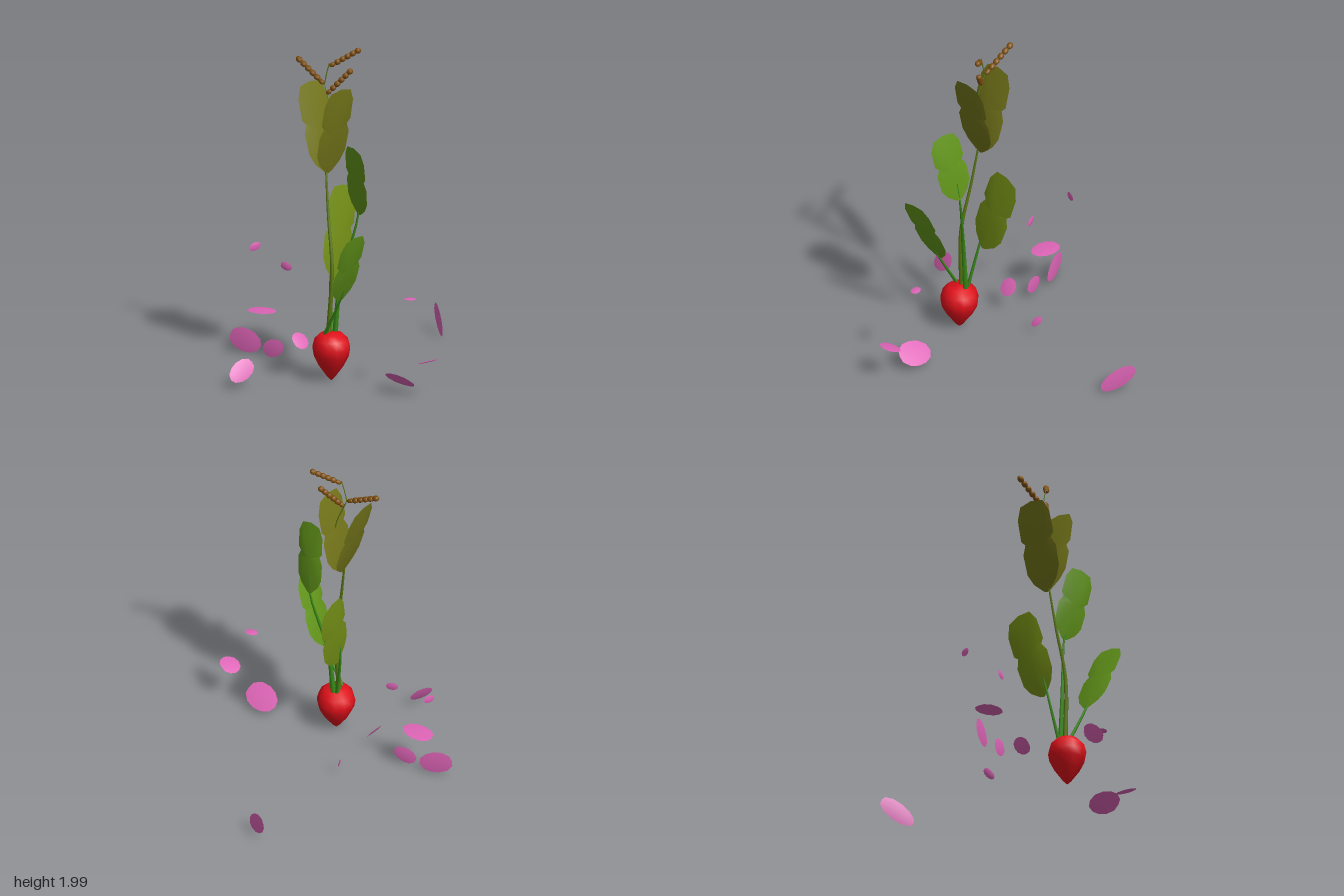
import * as THREE from 'three';

const V = (a) => new THREE.Vector3(...a);
const mat = (color) => new THREE.MeshStandardMaterial({ color, side: THREE.DoubleSide });
const red = mat(0xdf101a), pink = mat(0xdd64b6), brown = mat(0x80500f);
const green = mat(0x62951a), olive = mat(0x748f16), yellowGreen = mat(0x74761a);
const stemGreen = mat(0x3a8a18), stemOlive = mat(0x5c7a12);

// Half outlines: half width (of full width 1), height along the length
const LEAF = [[0.1, 0.02], [0.34, 0.12], [0.48, 0.24], [0.5, 0.46], [0.39, 0.56], [0.49, 0.61], [0.48, 0.84], [0.34, 0.97]];
const PETAL = [[0.26, 0.07], [0.44, 0.28], [0.5, 0.52], [0.44, 0.78], [0.24, 0.97]];

// Thin lens-shaped blade: two domed sheets sharing one outline
function bladeGeometry(half, width, length, thick) {
  const outline = [[0, 0], ...half, [0, 1], ...half.map(([x, y]) => [-x, y]).reverse()];
  const n = outline.length, pos = [], index = [];
  for (const side of [1, -1]) {
    const start = pos.length / 3;
    for (const [scale, bulge] of [[1, 0], [0.6, 0.8]])
      for (const [x, y] of outline)
        pos.push(x * scale * width, (0.5 + (y - 0.5) * scale) * length, side * bulge * thick / 2);
    pos.push(0, length / 2, side * thick / 2);
    const tri = (a, b, c) => index.push(start + a, start + (side > 0 ? b : c), start + (side > 0 ? c : b));
    for (let i = 0; i < n; i++) {
      const j = (i + 1) % n;
      tri(i, j, n + j);
      tri(i, n + j, n + i);
      tri(n + i, n + j, 2 * n);
    }
  }
  const g = new THREE.BufferGeometry();
  g.setAttribute('position', new THREE.Float32BufferAttribute(pos, 3));
  g.setIndex(index);
  g.computeVertexNormals();
  return g;
}

// Blade running from base to tip and facing roughly along the given normal
function blade(name, half, material, base, tip, width, facing, thick) {
  const b = V(base), y = V(tip).sub(b), length = y.length();
  y.normalize();
  const x = y.clone().cross(V(facing)).normalize();
  const z = x.clone().cross(y);
  const mesh = new THREE.Mesh(bladeGeometry(half, width, length, thick), material);
  mesh.quaternion.setFromRotationMatrix(new THREE.Matrix4().makeBasis(x, y, z));
  mesh.position.copy(b);
  mesh.name = name;
  return mesh;
}

// Tube through points whose radius shrinks from r0 to r1
function stem(name, material, points, r0, r1) {
  const segs = 14, sides = 6;
  const curve = new THREE.CatmullRomCurve3(points.map(V), false, 'centripetal');
  const g = new THREE.TubeGeometry(curve, segs, r0, sides);
  const p = g.attributes.position, v = new THREE.Vector3();
  for (let i = 0; i < p.count; i++) {
    const t = Math.floor(i / (sides + 1)) / segs, c = curve.getPointAt(t);
    v.fromBufferAttribute(p, i).sub(c).multiplyScalar(1 + (r1 / r0 - 1) * t).add(c);
    p.setXYZ(i, v.x, v.y, v.z);
  }
  const mesh = new THREE.Mesh(g, material);
  mesh.name = name;
  return mesh;
}

// Row of oval beads from a to b
function seedPod(a, b) {
  const pod = new THREE.Group(), from = V(a), to = V(b), count = 6;
  const step = from.distanceTo(to) / count;
  const turn = new THREE.Quaternion().setFromUnitVectors(new THREE.Vector3(0, 1, 0), to.clone().sub(from).normalize());
  const bead = new THREE.SphereGeometry(1, 8, 6);
  for (let i = 0; i < count; i++) {
    const m = new THREE.Mesh(bead, brown);
    m.position.lerpVectors(from, to, (i + 0.5) / count);
    m.quaternion.copy(turn);
    const r = i === 0 ? 0.014 : 0.018;
    m.scale.set(r, step * 0.58, r);
    m.name = 'bead';
    pod.add(m);
  }
  pod.name = 'seedPod';
  return pod;
}

export function createModel() {
  const model = new THREE.Group();
  model.name = 'radishPlant';

  // Root
  const profile = [[0, 0.015], [0.025, 0.04], [0.075, 0.11], [0.105, 0.17], [0.113, 0.215], [0.1, 0.265], [0.065, 0.3], [0, 0.307]];
  const root = new THREE.Mesh(new THREE.LatheGeometry(profile.map(([x, y]) => new THREE.Vector2(x, y)), 12), red);
  root.position.set(-0.322, 0, 0.04);
  root.name = 'root';
  model.add(root);

  // Leaf stalks
  model.add(
    stem('leftStalk', stemGreen, [[-0.362, 0.29, 0.02], [-0.37, 0.55, 0.165], [-0.38, 0.68, 0.22]], 0.01, 0.004),
    stem('rightStalk', stemGreen, [[-0.285, 0.29, 0.01], [-0.24, 0.6, -0.045], [-0.17, 0.92, -0.075]], 0.011, 0.003),
    stem('sideStalk', stemGreen, [[-0.28, 0.29, 0.03], [-0.268, 0.6, 0.06], [-0.21, 1.0, 0.145], [-0.22, 1.13, 0.16]], 0.016, 0.004),
    stem('mainStalk', stemOlive, [[-0.325, 0.29, 0.02], [-0.312, 0.7, 0.036], [-0.287, 1.0, -0.018], [-0.265, 1.26, -0.057]], 0.015, 0.006),
    stem('flowerStalk', stemOlive, [[-0.265, 1.24, -0.055], [-0.25, 1.52, -0.003], [-0.245, 1.77, -0.088]], 0.005, 0.003),
    stem('podStalk', stemOlive, [[-0.245, 1.77, -0.088], [-0.243, 1.83, -0.075], [-0.24, 1.9, -0.055]], 0.003, 0.003),
  );

  // Leaves: name, material, base, tip, width, facing
  const leaves = [
    ['leftLeaf', green, [-0.365, 0.53, 0.155], [-0.42, 0.96, 0.325], 0.21, [0, 0, 1]],
    ['rightLeaf', olive, [-0.215, 0.58, -0.04], [-0.07, 1.12, -0.1], 0.235, [0, 0.1, 1]],
    ['sideLeaf', green, [-0.205, 1.015, 0.15], [-0.3, 1.45, 0.2], 0.2, [1, 0, 0.2]],
    ['upperBackLeaf', yellowGreen, [-0.25, 1.235, -0.055], [-0.25, 1.765, -0.205], 0.245, [0, 0, 1]],
    ['upperFrontLeaf', yellowGreen, [-0.25, 1.235, -0.055], [-0.25, 1.765, 0.05], 0.245, [0, 0, 1]],
  ];
  for (const [name, m, a, b, w, n] of leaves) model.add(blade(name, LEAF, m, a, b, w, n, 0.024));

  // Seed pods
  model.add(
    seedPod([-0.24, 1.885, -0.05], [-0.125, 1.99, 0.085]),
    seedPod([-0.25, 1.715, -0.065], [-0.155, 1.865, 0.045]),
    seedPod([-0.245, 1.77, -0.095], [-0.245, 1.885, -0.31]),
  );

  // Scattered petals: base, tip, width, facing
  const petals = [
    [[-0.25, 0.295, -0.49], [-0.25, 0.285, -0.68], 0.135, [0, 1, 0]],
    [[-0.245, 0.07, -0.6], [-0.315, 0.12, -0.78], 0.145, [0.93, 0, -0.37]],
    [[-0.235, 0.11, -0.43], [-0.27, 0.055, -0.555], 0.105, [1, 0, -0.25]],
    [[-0.14, 0.645, -0.703], [-0.21, 0.625, -0.728], 0.05, [-0.3, 0, 1]],
    [[-0.2, 0.575, -0.395], [-0.22, 0.59, -0.465], 0.05, [1, 0, -0.28]],
    [[-0.19, 0.17, -0.28], [-0.3, 0.17, -0.285], 0.11, [0, 0.65, 0.75]],
    [[-0.845, 0.065, -0.265], [-0.685, 0.145, -0.25], 0.115, [0, 0.57, 0.82]],
    [[0.735, 0.03, -0.08], [0.84, 0.16, -0.245], 0.12, [0.85, 0, 0.53]],
    [[0.02, 0.062, -0.215], [0.062, 0.125, -0.25], 0.045, [0.5, 0.5, 0.7]],
    [[-0.27, 0.24, 0.69], [-0.155, 0.25, 0.73], 0.125, [0, 0.93, -0.36]],
    [[-0.205, 0.075, 0.39], [-0.245, 0.11, 0.6], 0.16, [0.62, 0.78, 0]],
    [[-0.19, 0.58, 0.5], [-0.165, 0.582, 0.57], 0.055, [0, 1, 0]],
  ];
  for (const [a, b, w, n] of petals) model.add(blade('petal', PETAL, pink, a, b, w, n, 0.008));

  return model;
}
